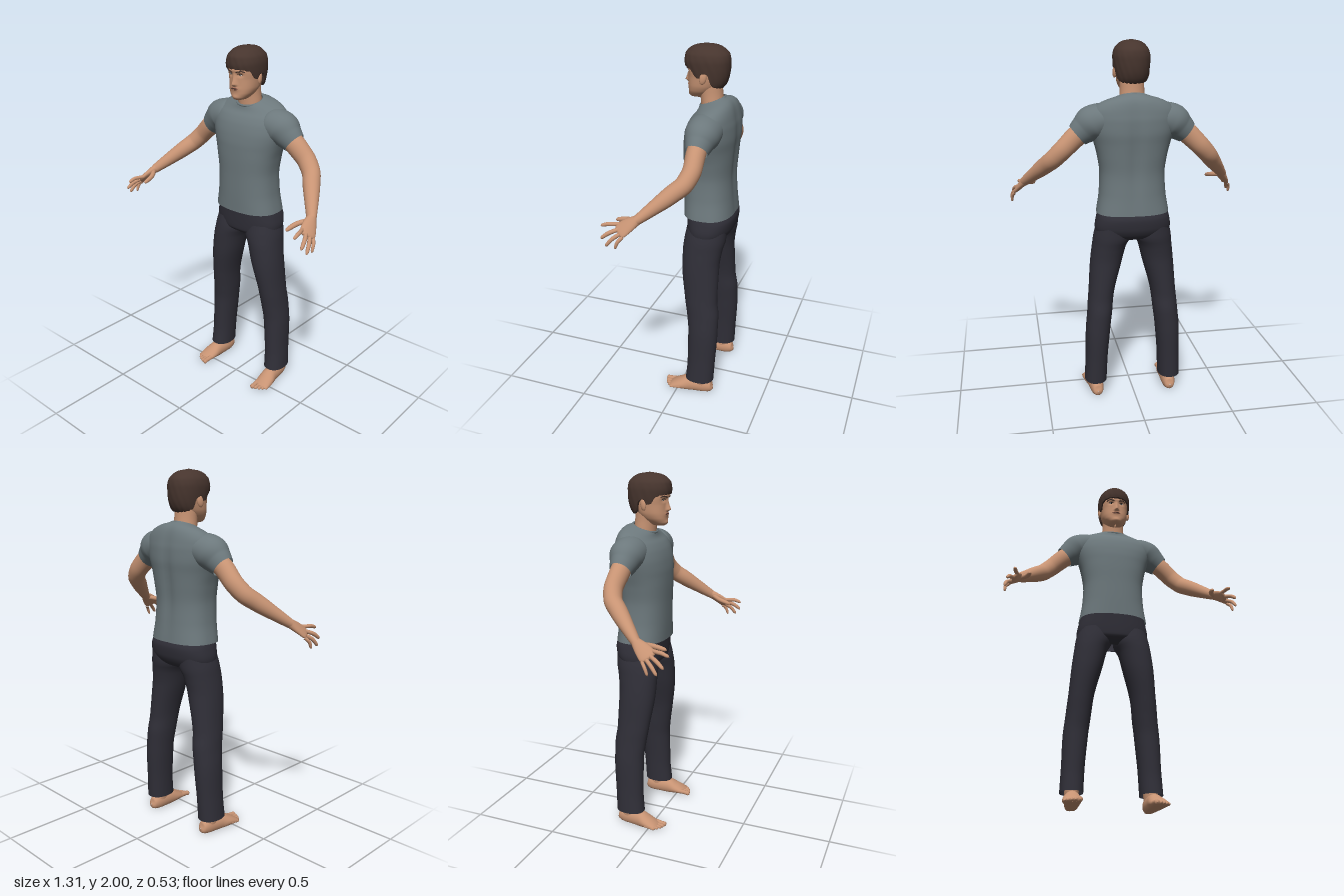
import * as THREE from 'three';

const paint = (color, side = THREE.FrontSide) => {
  const m = new THREE.MeshStandardMaterial({ color });
  m.side = side;
  return m;
};
const gauss = (...a) => Math.exp(-a.reduce((s, v) => s + v * v, 0));
const pow = (v, p) => Math.sign(v) * Math.abs(v) ** p;

// Smooth, overshoot-free interpolation of rows [key, a, b, ...]
function at(rows, k) {
  let i = 0;
  while (i < rows.length - 2 && k > rows[i + 1][0]) i++;
  const slope = (j, c) => (rows[j + 1][c] - rows[j][c]) / (rows[j + 1][0] - rows[j][0]);
  const tangent = (j, c) => {
    if (j === 0) return slope(0, c);
    if (j === rows.length - 1) return slope(j - 1, c);
    const a = slope(j - 1, c), b = slope(j, c);
    return a * b <= 0 ? 0 : 2 * a * b / (a + b);
  };
  const h = rows[i + 1][0] - rows[i][0];
  const t = Math.min(1, Math.max(0, (k - rows[i][0]) / h)), t2 = t * t, t3 = t2 * t;
  return rows[i].map((p, c) => c === 0 ? k :
    (2 * t3 - 3 * t2 + 1) * p + (t3 - 2 * t2 + t) * h * tangent(i, c) +
    (3 * t2 - 2 * t3) * rows[i + 1][c] + (t3 - t2) * h * tangent(i + 1, c));
}

// Closed-around surface from fn(angle, v)
function surface(fn, nu, nv) {
  const pos = [], idx = [];
  for (let j = 0; j <= nv; j++)
    for (let i = 0; i < nu; i++) pos.push(...fn(i / nu * Math.PI * 2, j / nv));
  for (let j = 0; j < nv; j++)
    for (let i = 0; i < nu; i++) {
      const a = j * nu + i, b = j * nu + (i + 1) % nu;
      idx.push(a, b, b + nu, a, b + nu, a + nu);
    }
  const g = new THREE.BufferGeometry();
  g.setAttribute('position', new THREE.Float32BufferAttribute(pos, 3));
  g.setIndex(idx);
  g.computeVertexNormals();
  return g;
}

// Point on a horizontal ring, row = [y, centreX, halfWidth, zFront, zBack, roundness]
function ringPoint([y, cx, rx, zf, zb, n], a) {
  return [cx + rx * pow(Math.sin(a), 2 / n), y, (zf + zb) / 2 + (zf - zb) / 2 * pow(Math.cos(a), 2 / n)];
}
function column(rows, nu, nv, shape = p => p) {
  const y0 = rows[0][0], y1 = rows[rows.length - 1][0];
  return surface((a, v) => shape(ringPoint(at(rows, y0 + (y1 - y0) * v), a)), nu, nv);
}

// Tube along a path, rows = [s, x, y, z, radius along ref, other radius]
function limb(rows, ref, nu = 24, nv = 28, shape = p => p) {
  const V = r => new THREE.Vector3(r[1], r[2], r[3]);
  return surface((a, s) => {
    const r = at(rows, s);
    const t = V(at(rows, Math.min(1, s + 0.01))).sub(V(at(rows, Math.max(0, s - 0.01)))).normalize();
    const u = new THREE.Vector3(...ref);
    u.addScaledVector(t, -u.dot(t)).normalize();
    const v = u.clone().cross(t);
    return shape(V(r).addScaledVector(u, Math.sin(a) * r[4]).addScaledVector(v, Math.cos(a) * r[5]).toArray());
  }, nu, nv);
}

function mirrored(geo) {
  const g = geo.clone().scale(-1, 1, 1), ix = g.index.array;
  for (let i = 0; i < ix.length; i += 3) [ix[i], ix[i + 1]] = [ix[i + 1], ix[i]];
  return g;
}

const ball = (x, y, z, rx, ry, rz) => new THREE.SphereGeometry(1, 20, 14).scale(rx, ry, rz).translate(x, y, z);

// Head: sections plus sculpted features
const headRows = [
  [1.718, 0, 0.004, -0.015, -0.05, 2], [1.724, 0, 0.03, 0.004, -0.075, 2.1], [1.738, 0, 0.048, 0.011, -0.1, 2.2],
  [1.762, 0, 0.066, 0.012, -0.13, 2.3], [1.79, 0, 0.076, 0.012, -0.155, 2.3], [1.83, 0, 0.081, 0.012, -0.178, 2.3],
  [1.87, 0, 0.085, 0.017, -0.19, 2.3], [1.91, 0, 0.086, 0.018, -0.195, 2.2], [1.95, 0, 0.076, 0, -0.18, 2],
  [1.98, 0, 0.045, -0.04, -0.14, 2]];
function features(x, y) {
  const t = (1.866 - y) / 0.06;
  const nose = t <= 0 ? 0 : t < 1 ? 0.024 * t : 0.024 * Math.max(0, 1 - (t - 1) / 0.2);
  const ax = Math.abs(x);
  return nose * gauss(x / (0.008 + 0.005 * Math.min(1, Math.max(0, t))))
    - 0.008 * gauss((ax - 0.031) / 0.017, (y - 1.857) / 0.011)
    + 0.004 * gauss((ax - 0.028) / 0.026, (y - 1.877) / 0.008)
    + 0.005 * gauss(x / 0.026, (y - 1.784) / 0.013)
    + 0.004 * gauss(x / 0.022, (y - 1.738) / 0.011);
}
function faceZ(x, y) {
  const [, , rx, zf, zb, n] = at(headRows, y);
  return (zf + zb) / 2 + (zf - zb) / 2 * (1 - (Math.abs(x) / rx) ** n) ** (1 / n) + features(x, y);
}

export function createModel() {
  const model = new THREE.Group();
  const skin = paint(0xc79373), shirt = paint(0x6c787c, THREE.DoubleSide), trousers = paint(0x302f38, THREE.DoubleSide);
  const hair = paint(0x47352e, THREE.DoubleSide), white = paint(0xd8cfc6), dark = paint(0x2a211d), lip = paint(0xa86f5c);
  const add = (name, mat, geo) => {
    const m = new THREE.Mesh(geo, mat);
    m.name = name;
    model.add(m);
  };
  const pair = (name, mat, geo) => {
    add('left ' + name, mat, geo);
    add('right ' + name, mat, mirrored(geo));
  };

  // Head and neck
  add('head', skin, column(headRows, 96, 80, ([x, y, z]) => [x, y, z > -0.04 ? z + features(x, y) : z]));
  add('neck', skin, column([[1.62, 0, 0.07, -0.06, -0.18, 2], [1.7, 0, 0.068, -0.055, -0.176, 2],
    [1.75, 0, 0.065, -0.05, -0.17, 2], [1.81, 0, 0.066, -0.04, -0.165, 2]], 32, 12));
  pair('ear', skin, new THREE.SphereGeometry(1, 16, 12).scale(0.01, 0.032, 0.018).rotateX(-0.2).rotateY(0.3).translate(0.088, 1.835, -0.09));

  // Eyes, brows and mouth
  pair('eye', white, ball(0.031, 1.857, faceZ(0.031, 1.857), 0.012, 0.0055, 0.003));
  pair('iris', dark, ball(0.031, 1.8575, faceZ(0.031, 1.857) + 0.002, 0.005, 0.005, 0.002));
  const stroke = (pts, r) => new THREE.TubeGeometry(new THREE.CatmullRomCurve3(
    pts.map(([x, y]) => new THREE.Vector3(x, y, faceZ(x, y)))), 16, r, 6);
  pair('eyelid', dark, stroke([[0.018, 1.859], [0.031, 1.864], [0.045, 1.859]], 0.0018));
  pair('eyebrow', hair, stroke([[0.013, 1.871], [0.03, 1.876], [0.046, 1.878], [0.057, 1.872]], 0.0033));
  add('upper lip', lip, stroke([[-0.024, 1.784], [-0.008, 1.788], [0, 1.787], [0.008, 1.788], [0.024, 1.784]], 0.0028));
  add('lower lip', lip, stroke([[-0.02, 1.782], [0, 1.779], [0.02, 1.782]], 0.0032));
  add('mouth line', dark, stroke([[-0.024, 1.7835], [0, 1.7835], [0.024, 1.7835]], 0.0024));

  // Hair: cap with a hairline that drops from fringe to nape
  const hairRows = [[1.77, 0, 0.075, -0.01, -0.168, 2.1], [1.8, 0, 0.086, 0.005, -0.19, 2.2], [1.84, 0, 0.093, 0.018, -0.203, 2.2],
    [1.88, 0, 0.097, 0.028, -0.208, 2.2], [1.91, 0, 0.098, 0.033, -0.209, 2.2], [1.945, 0, 0.092, 0.03, -0.204, 2.1],
    [1.972, 0, 0.074, 0.01, -0.182, 2], [1.99, 0, 0.048, -0.025, -0.15, 2], [2, 0, 0.001, -0.085, -0.09, 2]];
  const hairline = [[0, 1.888], [0.2, 1.885], [0.31, 1.875], [0.38, 1.84], [0.44, 1.835], [0.49, 1.862], [0.55, 1.855],
    [0.62, 1.8], [0.75, 1.785], [1, 1.778]];
  add('hair', hair, surface((a, v) => {
    const around = (a > Math.PI ? 2 * Math.PI - a : a) / Math.PI;
    const low = at(hairline, around)[1] + 0.002 * Math.sin(a * 23);
    const k = Math.max(0, (v - 0.05) / 0.95);
    const y = low + (2 - low) * Math.sin(k * Math.PI / 2);
    const [x, , z] = ringPoint(at(hairRows, y), a);
    const s = v === 0 ? 0.86 : 1 + 0.008 * Math.sin(a * 17 + y * 60) * (1 - k);
    return [x * s, y, -0.09 + (z + 0.09) * s];
  }, 96, 32));

  // Shirt: body with spine groove and tilted neck opening, sleeves, collar
  add('shirt body', shirt, column([
    [1.088, 0, 0.199, 0.018, -0.259, 2.5], [1.2, 0, 0.182, 0.021, -0.25, 2.4], [1.3, 0, 0.177, 0.022, -0.245, 2.4],
    [1.4, 0, 0.19, 0.024, -0.251, 2.4], [1.47, 0, 0.208, 0.023, -0.257, 2.3], [1.53, 0, 0.225, 0.016, -0.262, 2.3],
    [1.59, 0, 0.236, 0, -0.26, 2.2], [1.635, 0, 0.228, -0.024, -0.252, 2.2], [1.665, 0, 0.2, -0.04, -0.24, 2.1],
    [1.688, 0, 0.15, -0.048, -0.218, 2], [1.704, 0, 0.098, -0.051, -0.19, 2], [1.712, 0, 0.078, -0.054, -0.183, 2]], 64, 60,
  ([x, y, z]) => {
    const groove = z < -0.12 ? 0.012 * gauss(x / 0.032) * gauss((y - 1.42) / 0.26) : 0;
    return [x, y - 0.36 * (z + 0.12) * THREE.MathUtils.smoothstep(y, 1.62, 1.71), z + groove];
  }));
  pair('sleeve', shirt, limb([[0, 0.09, 1.6, -0.13, 0.07, 0.05], [0.3, 0.16, 1.592, -0.132, 0.096, 0.088],
    [0.55, 0.215, 1.575, -0.132, 0.092, 0.094], [0.8, 0.262, 1.541, -0.13, 0.072, 0.078],
    [1, 0.296, 1.513, -0.13, 0.058, 0.064]], [0, 0, 1], 36, 32));
  add('collar', shirt, new THREE.TorusGeometry(1, 0.09, 10, 48).scale(0.076, 0.068, 0.075)
    .rotateX(Math.PI / 2 + 0.35).translate(0, 1.704, -0.118));

  // Trousers
  add('trouser seat', trousers, column([[0.93, 0, 0.1, -0.07, -0.17, 2], [0.945, 0, 0.165, -0.035, -0.21, 2.1],
    [0.97, 0, 0.203, -0.008, -0.238, 2.3], [1.01, 0, 0.209, -0.003, -0.256, 2.4],
    [1.06, 0, 0.201, 0, -0.262, 2.5], [1.1, 0, 0.19, 0.002, -0.25, 2.5]], 56, 24));
  pair('trouser leg', trousers, column([[0.082, 0.217, 0.063, -0.045, -0.21, 2.2], [0.2, 0.212, 0.063, -0.054, -0.216, 2.1],
    [0.4, 0.201, 0.069, -0.055, -0.226, 2.1], [0.5, 0.19, 0.07, -0.044, -0.226, 2.1], [0.6, 0.18, 0.071, -0.028, -0.214, 2.1],
    [0.8, 0.147, 0.088, -0.002, -0.212, 2.1], [0.9, 0.128, 0.095, 0, -0.224, 2.1], [0.95, 0.112, 0.105, -0.003, -0.236, 2.1],
    [1.02, 0.105, 0.095, -0.015, -0.24, 2.1]], 40, 48));

  // Arms and palms
  pair('arm', skin, limb([[0, 0.24, 1.55, -0.13, 0.048, 0.054], [0.25, 0.3, 1.508, -0.13, 0.051, 0.057],
    [0.45, 0.365, 1.447, -0.134, 0.049, 0.053], [0.6, 0.42, 1.39, -0.114, 0.048, 0.05], [0.72, 0.465, 1.342, -0.06, 0.046, 0.046],
    [0.88, 0.53, 1.273, 0.025, 0.034, 0.035], [1, 0.575, 1.225, 0.085, 0.024, 0.026]], [0, 0.3, 1], 28, 40));
  const across = [0.055, -0.05, -0.04];
  pair('palm', skin, limb([[0, 0.57, 1.231, 0.078, 0.025, 0.024], [0.45, 0.589, 1.202, 0.122, 0.04, 0.019],
    [0.8, 0.604, 1.177, 0.155, 0.045, 0.015], [0.94, 0.61, 1.168, 0.167, 0.036, 0.011], [1, 0.612, 1.165, 0.171, 0.002, 0.002]], across));

  // Fingers: knuckle, tip, radius, bend
  const digit = (a, b, r, bend) => {
    const p = f => a.map((v, i) => v + (b[i] - v) * f + bend[i] * Math.sin(f * Math.PI));
    return limb([[0, ...p(0), r, r], [0.5, ...p(0.5), r, r], [0.85, ...p(0.85), r * 0.85, r * 0.85],
      [0.95, ...p(0.95), r * 0.6, r * 0.6], [1, ...p(1), 0.0005, 0.0005]], across, 12, 18);
  };
  const curl = [0.007, 0.007, 0.003];
  [['index finger', [0.58, 1.198, 0.168], [0.6, 1.183, 0.267], 0.0105], ['middle finger', [0.599, 1.182, 0.16], [0.637, 1.13, 0.253], 0.011],
    ['ring finger', [0.614, 1.165, 0.15], [0.648, 1.097, 0.222], 0.0105], ['little finger', [0.627, 1.152, 0.137], [0.645, 1.09, 0.172], 0.009]]
    .forEach(([name, a, b, r]) => pair(name, skin, digit(a, b, r, curl)));
  pair('thumb', skin, digit([0.566, 1.219, 0.1], [0.518, 1.188, 0.222], 0.0135, [-0.012, 0.002, -0.008]));

  // Feet with flat soles, ankles and toes
  const sole = ([x, y, z]) => [x, Math.max(0, y), z];
  pair('foot', skin, limb([[0, 0.212, 0.032, -0.208, 0.003, 0.003], [0.05, 0.212, 0.03, -0.2, 0.025, 0.028],
    [0.22, 0.213, 0.034, -0.155, 0.038, 0.05], [0.55, 0.219, 0.032, -0.07, 0.043, 0.05], [0.75, 0.226, 0.024, -0.015, 0.05, 0.033],
    [0.93, 0.23, 0.014, 0.032, 0.047, 0.018], [1, 0.23, 0.012, 0.05, 0.034, 0.008]], [1, 0, 0], 28, 36, sole));
  pair('ankle', skin, limb([[0, 0.213, 0.03, -0.14, 0.036, 0.05], [0.5, 0.215, 0.085, -0.135, 0.039, 0.05],
    [1, 0.215, 0.15, -0.135, 0.042, 0.05]], [1, 0, 0], 24, 10));
  [[0.197, 0.088, 0.0145], [0.219, 0.083, 0.0105], [0.238, 0.074, 0.01], [0.255, 0.061, 0.0095], [0.27, 0.045, 0.009]]
    .forEach(([x, z, r], i) => pair('toe ' + (i + 1), skin, limb([[0, x - 0.002, 0.018, z - 0.065, r, r], [0.6, x, 0.014, z - 0.025, r * 0.9, r * 0.9],
      [0.85, x, 0.012, z - 0.01, r, r], [0.95, x, 0.011, z - 0.003, r * 0.7, r * 0.7], [1, x, 0.01, z, 0.0005, 0.0005]],
    [1, 0, 0], 14, 18, sole)));

  return model;
}
